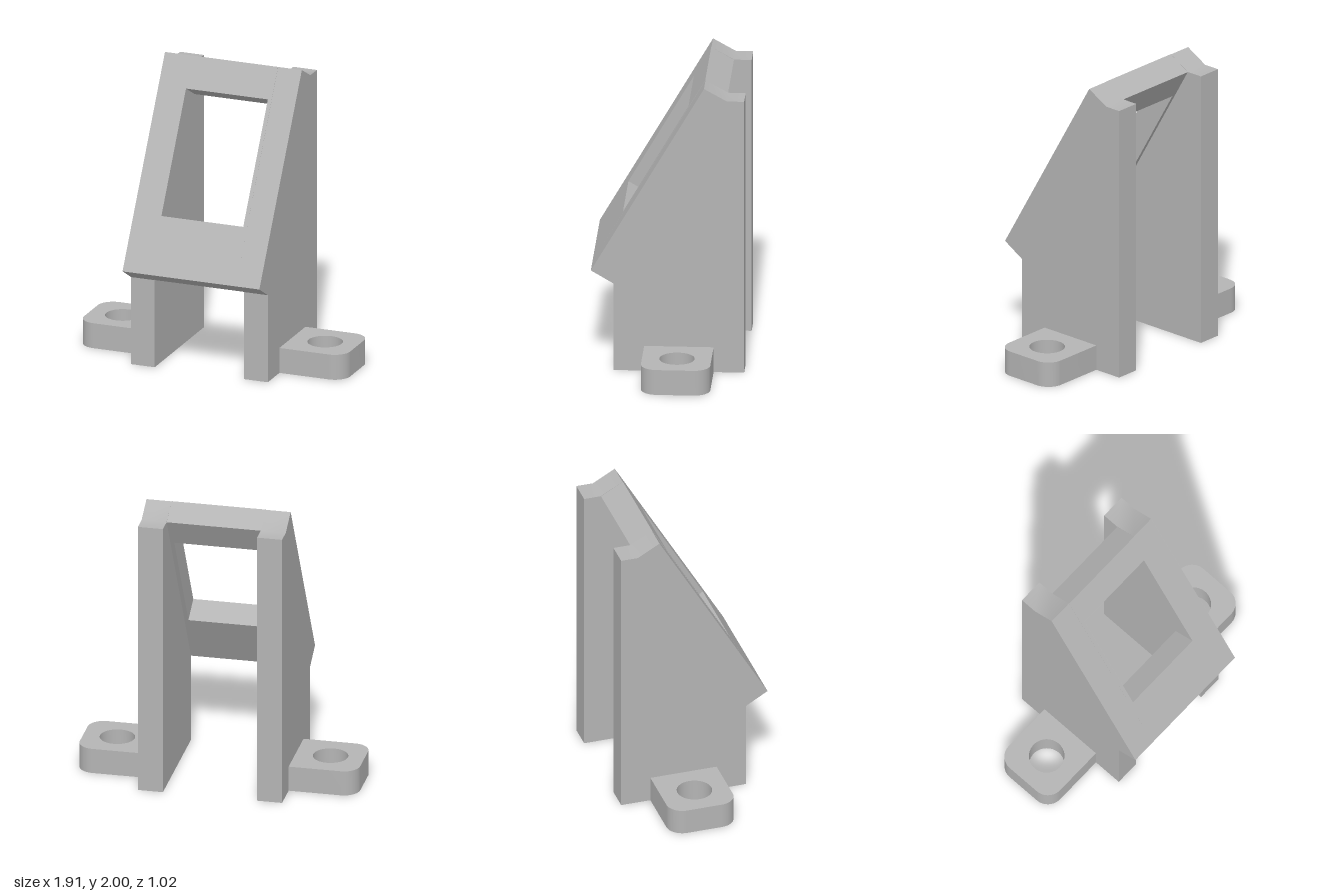
import * as THREE from 'three';
import { toCreasedNormals } from 'three/addons/utils/BufferGeometryUtils.js';

const plastic = new THREE.MeshStandardMaterial({ color: 0xb4b4b4 });
plastic.name = 'grey plastic';

const OUTER = 0.49, INNER = 0.32; // side wall faces in x
const THICK = 0.175;              // panel thickness

function polygon(points) {
  return new THREE.Shape(points.map(([x, y]) => new THREE.Vector2(x, y)));
}

function extrude(shape, depth) {
  const geometry = new THREE.ExtrudeGeometry(shape, { depth, bevelEnabled: false, curveSegments: 24 });
  return toCreasedNormals(geometry, 0.6);
}

function part(name, geometry) {
  const mesh = new THREE.Mesh(geometry, plastic);
  mesh.name = name;
  return mesh;
}

// Side wall: profile drawn as (-z, y), extruded along x
function sideWall(side) {
  const profile = polygon([
    [-0.36, 0], [0.51, 0], [0.51, 1.915], [0.395, 1.915],
    [0.243, 2], [-0.51, 0.7], [-0.36, 0.612],
  ]);
  const geometry = extrude(profile, OUTER - INNER).rotateY(Math.PI / 2);
  geometry.translate(side > 0 ? INNER : -OUTER, 0, 0);
  return part(side > 0 ? 'leftWall' : 'rightWall', geometry);
}

// Sloped panel with a rectangular window, leaning back 30 degrees
function slopedPanel() {
  const shape = polygon([[-INNER, 0], [INNER, 0], [INNER, 1.502], [-INNER, 1.502]]);
  const w = 0.293, low = 0.404, high = 1.276;
  shape.holes.push(polygon([[-w, low], [-w, high], [w, high], [w, low]]));
  const geometry = extrude(shape, THICK).translate(0, 0, -THICK);
  geometry.rotateX(-Math.PI / 6).translate(0, 0.7, 0.51);
  return part('windowPanel', geometry);
}

// Mounting lug: rounded outer corners and a screw hole, drawn as (x, -z)
function mountingLug(side) {
  const near = OUTER, far = 0.953, front = -0.155, back = 0.307, r = 0.11;
  const shape = new THREE.Shape();
  shape.moveTo(near, front);
  shape.lineTo(far - r, front);
  shape.absarc(far - r, front + r, r, -Math.PI / 2, 0, false);
  shape.absarc(far - r, back - r, r, 0, Math.PI / 2, false);
  shape.lineTo(near, back);
  const hole = new THREE.Path();
  hole.absarc(0.724, 0.078, 0.118, 0, Math.PI * 2, true);
  shape.holes.push(hole);
  const geometry = extrude(shape, 0.175).rotateX(-Math.PI / 2);
  // Half a turn about the lug's own middle line gives the other side
  if (side < 0) {
    const mid = -(front + back) / 2;
    geometry.translate(0, 0, -mid).rotateY(Math.PI).translate(0, 0, mid);
  }
  return part(side > 0 ? 'leftLug' : 'rightLug', geometry);
}

export function createModel() {
  const model = new THREE.Group();
  model.name = 'panelStand';
  model.add(slopedPanel());
  for (const side of [1, -1]) model.add(sideWall(side), mountingLug(side));
  return model;
}
